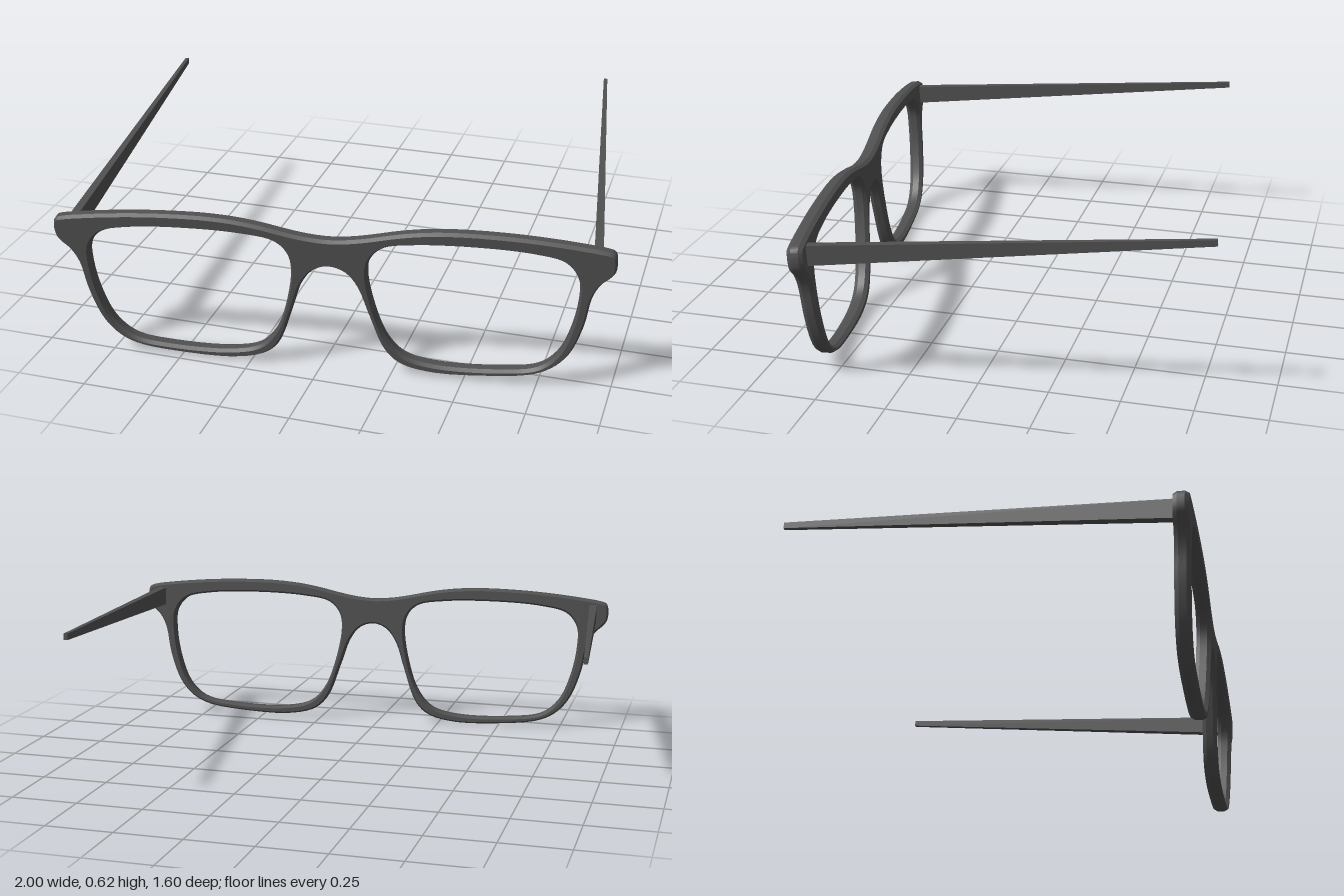
import * as THREE from 'three';
import { toCreasedNormals } from 'three/addons/utils/BufferGeometryUtils.js';

const DEPTH = 0.054;
const BEVEL_DEPTH = 0.014;
const BEVEL_SIZE = 0.008;

// Right half of the outer outline, from the top of the bridge round to its underside
const OUTER = [
  [0, 0.514], [0.07, 0.519], [0.135, 0.53], [0.24, 0.553], [0.33, 0.567], [0.43, 0.574], [0.55, 0.574],
  [0.67, 0.569], [0.78, 0.56], [0.86, 0.551], [0.93, 0.541], [0.958, 0.532], [0.967, 0.51], [0.964, 0.465],
  [0.948, 0.442], [0.917, 0.412], [0.891, 0.36], [0.869, 0.247], [0.826, 0.132], [0.771, 0.068],
  [0.7, 0.033], [0.54, 0.012], [0.35, 0.009], [0.242, 0.036], [0.188, 0.087], [0.135, 0.228],
  [0.097, 0.338], [0.054, 0.393], [0, 0.411],
];

// Lens opening on the same side
const HOLE = [
  [0.132, 0.39], [0.143, 0.45], [0.186, 0.496], [0.296, 0.517], [0.51, 0.524], [0.7, 0.513],
  [0.799, 0.489], [0.843, 0.434], [0.848, 0.354], [0.827, 0.23], [0.784, 0.124], [0.718, 0.065],
  [0.592, 0.042], [0.361, 0.04], [0.256, 0.069], [0.197, 0.136], [0.154, 0.255],
];

function smoothLoop(points, divisions) {
  const curve = new THREE.CatmullRomCurve3(points.map(([x, y]) => new THREE.Vector3(x, y, 0)), true);
  return curve.getPoints(divisions).slice(0, -1).map((p) => new THREE.Vector2(p.x, p.y));
}

const mirror = (points) => points.map(([x, y]) => [-x, y]).reverse();

function buildFront(material) {
  // Outline runs anticlockwise so the walls of the openings face inward
  const outline = smoothLoop([...OUTER, ...mirror(OUTER.slice(1, -1))], 220).reverse();
  const shape = new THREE.Shape(outline);
  for (const hole of [HOLE, mirror(HOLE)]) shape.holes.push(new THREE.Path(smoothLoop(hole, 90)));
  const geometry = new THREE.ExtrudeGeometry(shape, {
    depth: DEPTH - 2 * BEVEL_DEPTH,
    bevelEnabled: true,
    bevelThickness: BEVEL_DEPTH,
    bevelSize: BEVEL_SIZE,
    bevelOffset: -BEVEL_SIZE,
    bevelSegments: 1,
  });
  geometry.translate(0, 0, BEVEL_DEPTH - DEPTH / 2);
  const mesh = new THREE.Mesh(toCreasedNormals(geometry, 0.4), material);
  mesh.name = 'frontFrame';
  return mesh;
}

// Tapered arm running back from the hinge, leaning slightly inward and upward
function buildTemple(side, material) {
  const geometry = new THREE.BoxGeometry(1, 1, 1);
  const pos = geometry.attributes.position;
  for (let i = 0; i < pos.count; i++) {
    const t = 0.5 - pos.getZ(i);
    const width = THREE.MathUtils.lerp(0.03, 0.014, t);
    const height = THREE.MathUtils.lerp(0.072, 0.022, t);
    pos.setXYZ(
      i,
      side * (0.905 - 0.03 * t) + pos.getX(i) * width,
      0.492 + 0.031 * t + pos.getY(i) * height,
      -0.015 - 1.355 * t,
    );
  }
  geometry.computeVertexNormals();
  const mesh = new THREE.Mesh(geometry, material);
  mesh.name = side > 0 ? 'leftTemple' : 'rightTemple';
  return mesh;
}

export function createModel() {
  const plastic = new THREE.MeshStandardMaterial({ color: 0x505050 });
  plastic.name = 'darkGreyPlastic';

  const glasses = new THREE.Group();
  glasses.name = 'glasses';
  glasses.add(buildFront(plastic), buildTemple(1, plastic), buildTemple(-1, plastic));

  // The pair sits slightly turned and tilted
  glasses.rotation.set(0.058, 0.12, 0.012, 'YXZ');
  glasses.position.set(0.037, 0, 0.63);

  const model = new THREE.Group();
  model.name = 'eyeglasses';
  model.add(glasses);
  return model;
}
